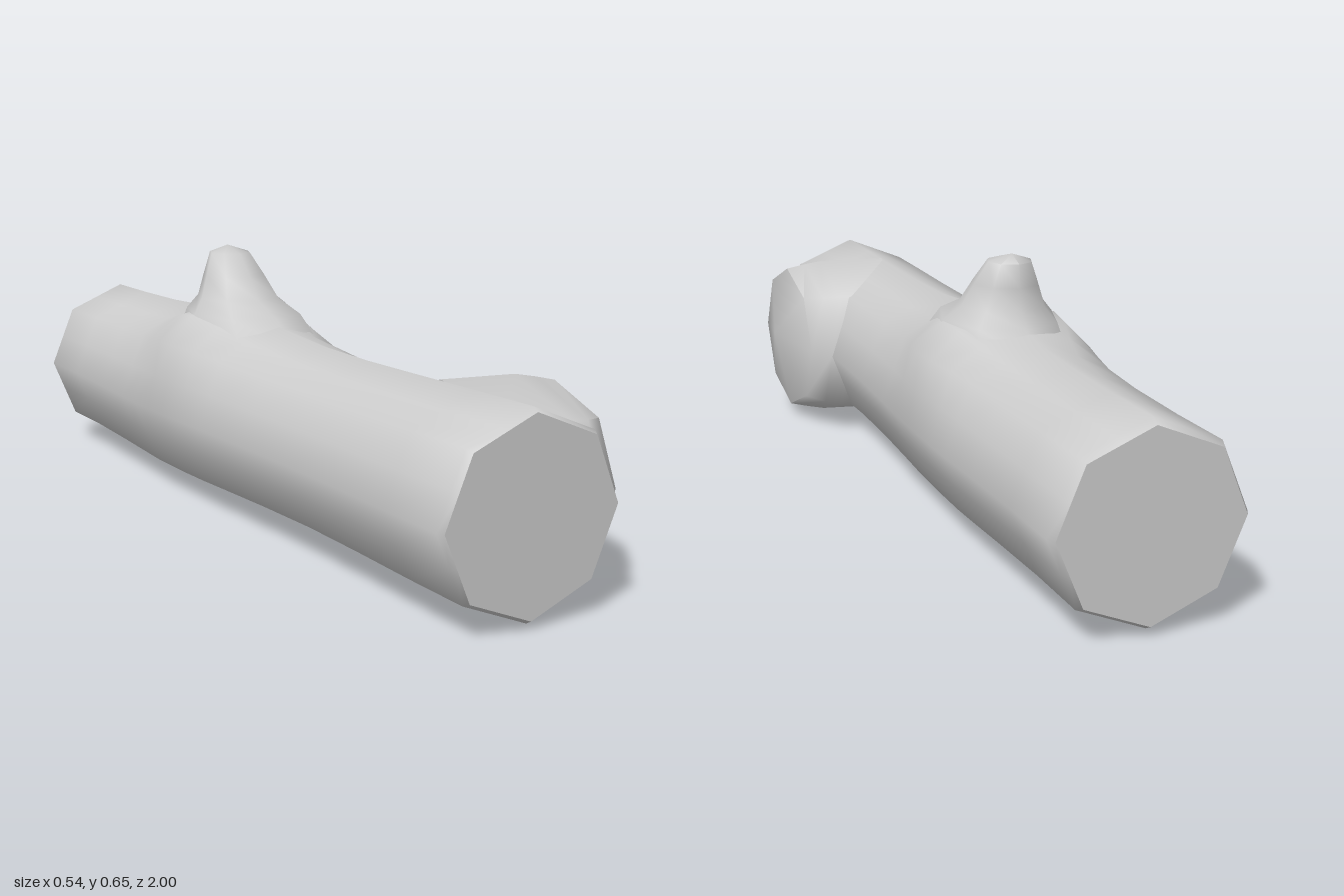
import * as THREE from 'three';
import { toCreasedNormals } from 'three/addons/utils/BufferGeometryUtils.js';

const material = new THREE.MeshStandardMaterial({ color: 0xcccccc });

// Skins a list of closed rings (counter-clockwise around their direction) and fans both ends.
function loft(name, rings, startPoint, endPoint) {
  const n = rings[0].length;
  const points = [...rings.flat(), startPoint, endPoint];
  const start = points.length - 2, end = points.length - 1;
  const last = (rings.length - 1) * n;
  const index = [];
  for (let i = 0; i < n; i++) {
    const j = (i + 1) % n;
    for (let r = 0; r < last; r += n) {
      index.push(r + i, r + j, r + n + i, r + j, r + n + j, r + n + i);
    }
    index.push(start, j, i, end, last + i, last + j);
  }
  const geometry = new THREE.BufferGeometry();
  geometry.setAttribute('position', new THREE.Float32BufferAttribute(points.flat(), 3));
  geometry.setIndex(index);
  const mesh = new THREE.Mesh(toCreasedNormals(geometry, 1.05), material);
  mesh.name = name;
  return mesh;
}

// Unit octagon as [cos, sin] pairs, optionally with a midpoint on each side.
function octagon(midpoints = false) {
  const corner = (i) => [Math.cos(i * Math.PI / 4), Math.sin(i * Math.PI / 4)];
  const out = [];
  for (let i = 0; i < 8; i++) {
    const a = corner(i), b = corner(i + 1);
    out.push(a);
    if (midpoints) out.push([(a[0] + b[0]) / 2, (a[1] + b[1]) / 2]);
  }
  return out;
}

// Trunk sections: z, centre x, half width, bottom y, top y
const trunkSections = [
  [-0.98, -0.032, 0.222, 0.014, 0.457],
  [-0.8, -0.032, 0.222, 0.014, 0.457],
  [-0.6, -0.033, 0.227, 0.009, 0.46],
  [-0.45, -0.034, 0.233, 0.005, 0.463],
  [-0.36, -0.035, 0.235, 0.002, 0.465],
  [-0.28, -0.035, 0.235, 0.002, 0.466],
  [-0.2, -0.035, 0.235, 0.003, 0.466],
  [-0.1, -0.035, 0.233, 0.005, 0.465],
  [0, -0.035, 0.228, 0.008, 0.462],
  [0.2, -0.035, 0.22, 0.014, 0.455],
  [0.4, -0.034, 0.217, 0.018, 0.452],
  [0.6, -0.032, 0.219, 0.016, 0.454],
  [0.8, -0.031, 0.223, 0.013, 0.457],
  [0.985, -0.029, 0.226, 0.012, 0.459],
];

// Outward swelling below the twig, per point from the side (0) to the ridge (4)
const swelling = [[0, 0], [0.015, 0.005], [0.04, 0.012], [0.06, 0.05], [0, 0.035]];

function trunkRing([z, cx, rx, bottom, top], scale = 1, zOut = z) {
  const cy = (top + bottom) / 2, ry = (top - bottom) / 2;
  const amount = Math.exp(-(((z + 0.21) / 0.17) ** 2));
  return octagon(true).map(([c, s], i) => {
    const [dx, dy] = i <= 8 ? swelling[i <= 4 ? i : 8 - i] : [0, 0];
    return [
      cx + c * rx * scale + Math.sign(c) * dx * amount,
      cy + s * ry * scale + dy * amount,
      zOut,
    ];
  });
}

function makeTrunk() {
  const first = trunkSections[0], last = trunkSections.at(-1);
  const rings = [
    trunkRing(first, 0.7, -1),
    trunkRing(first, 0.95, -1),
    ...trunkSections.map((section) => trunkRing(section)),
    trunkRing(last, 0.96, 1),
    trunkRing(last, 0.7, 1),
  ];
  return loft('trunk', rings, [-0.032, 0.235, -1], [-0.03, 0.235, 1]);
}

// Sawn-off side branch: x, slant, half height, rear z, front z
function makeBranchStump() {
  const sections = [
    [-0.03, 0, 0.222, 0.38, 0.98],
    [0.145, 0, 0.221, 0.44, 0.975],
    [0.19, 0.005, 0.213, 0.47, 0.965],
    [0.239, 0.014, 0.202, 0.535, 0.92],
  ];
  const rings = sections.map(([x, slant, ry, z0, z1]) =>
    octagon().map(([c, s]) => [
      x + s * slant,
      0.236 + c * ry,
      (z0 + z1) / 2 + s * (z1 - z0) / 2,
    ]));
  return loft('branchStump', rings, [-0.03, 0.236, 0.7], [0.266, 0.236, 0.79]);
}

// Twig stub leaning back: y, half width, front z, rear z
function makeTwig() {
  const sections = [
    [0.42, 0.16, 0.07, -0.42],
    [0.485, 0.14, -0.02, -0.375],
    [0.52, 0.105, -0.11, -0.34],
    [0.575, 0.08, -0.157, -0.333],
    [0.63, 0.053, -0.21, -0.325],
  ];
  const rings = sections.map(([y, rx, zf, zb]) =>
    octagon().map(([c, s]) => [-0.032 + s * rx, y, (zf + zb) / 2 + c * (zf - zb) / 2]));
  return loft('twigStub', rings, [-0.032, 0.42, -0.18], [-0.032, 0.648, -0.28]);
}

export function createModel() {
  const log = new THREE.Group();
  log.name = 'log';
  log.add(makeTrunk(), makeBranchStump(), makeTwig());
  return log;
}
